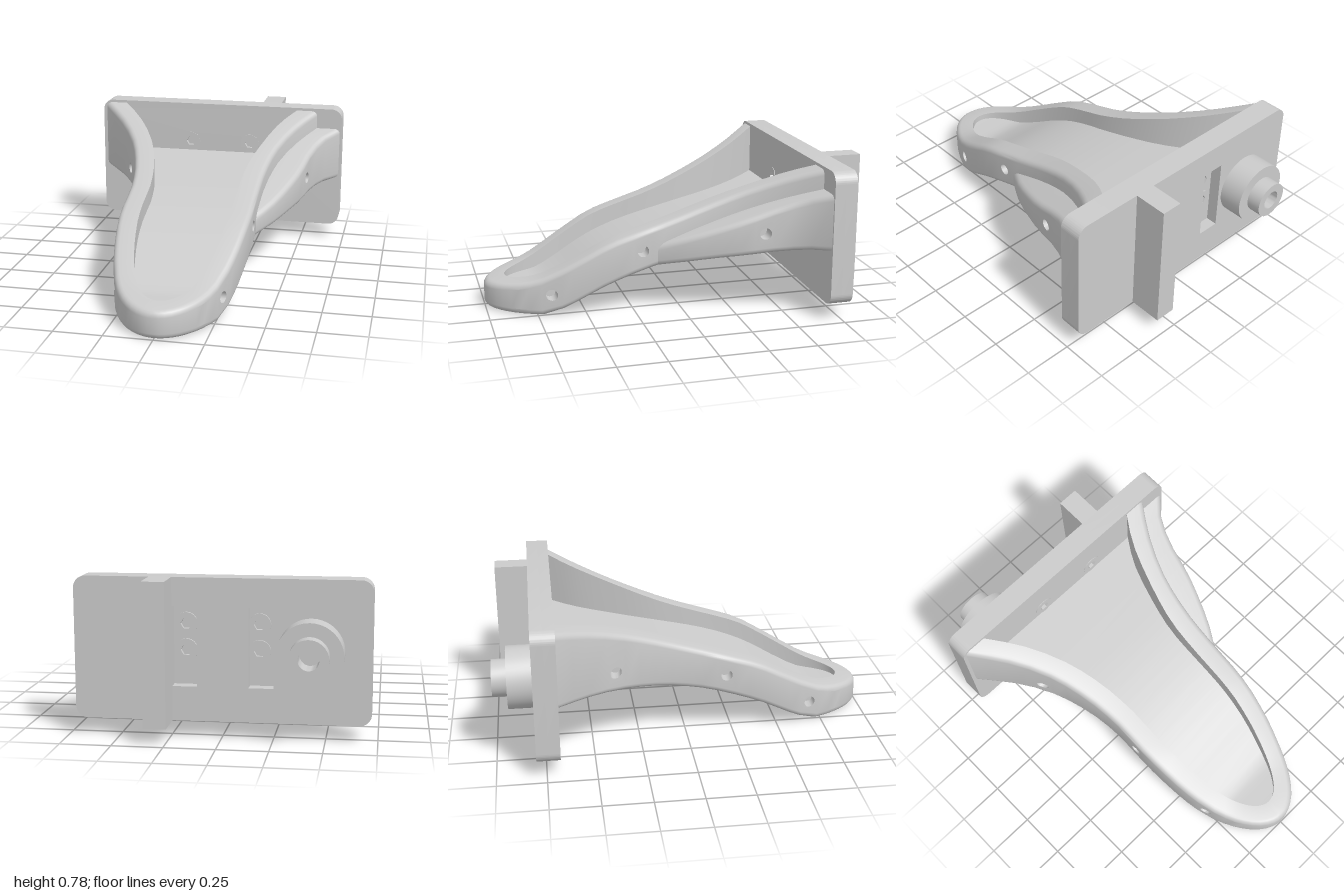
import * as THREE from 'three';
import { mergeGeometries, toCreasedNormals } from 'three/addons/utils/BufferGeometryUtils.js';

const grey = new THREE.MeshStandardMaterial({ color: 0xcccccc });
const lerp = THREE.MathUtils.lerp;

// Smooth function through [position, value] points
const curve = (p) => {
  const slope = (i) => {
    const a = p[Math.max(i - 1, 0)], b = p[Math.min(i + 1, p.length - 1)];
    return (b[1] - a[1]) / (b[0] - a[0]);
  };
  return (t) => {
    let i = 0;
    while (i < p.length - 2 && t > p[i + 1][0]) i++;
    const h = p[i + 1][0] - p[i][0], u = (t - p[i][0]) / h, u2 = u * u, u3 = u2 * u;
    return (2 * u3 - 3 * u2 + 1) * p[i][1] + (u3 - 2 * u2 + u) * h * slope(i)
      + (3 * u2 - 2 * u3) * p[i + 1][1] + (u3 - u2) * h * slope(i + 1);
  };
};

// Side profiles, heights along z
const top = curve([[-0.68, 0.765], [-0.3, 0.622], [0, 0.51], [0.25, 0.43], [0.38, 0.385], [0.5, 0.32], [0.7, 0.21], [0.8, 0.175], [1, 0.14]]);
const bottom = curve([[-0.68, 0.37], [-0.2, 0.315], [0, 0.28], [0.2, 0.23], [0.4, 0.155], [0.6, 0.048], [0.7, 0.006], [0.76, 0], [1, 0]]);
const floor = (z) => bottom(z) + 0.125;
const ledgeTop = (z) => Math.min(lerp(0.665, 0.395, (z + 0.68) / 0.73), 0.395 - (z - 0.05) * 0.4);

// Plan outlines, half widths along z (side 1 = +x, -1 = -x)
const outerRear = {
  '1': curve([[-0.68, 0.575], [-0.53, 0.48], [-0.34, 0.4], [-0.13, 0.36], [0.08, 0.35], [0.2, 0.35]]),
  '-1': curve([[-0.68, 0.7], [-0.5, 0.55], [-0.32, 0.445], [-0.1, 0.375], [0.08, 0.35], [0.2, 0.35]]),
};
const innerRear = {
  '1': curve([[-0.68, 0.455], [-0.55, 0.375], [-0.34, 0.3], [-0.13, 0.25], [0.08, 0.24], [0.2, 0.24]]),
  '-1': curve([[-0.68, 0.575], [-0.53, 0.45], [-0.34, 0.34], [-0.13, 0.27], [0.08, 0.24], [0.2, 0.24]]),
};
const round = (z, w, len) => w * Math.sqrt(Math.max(0, 1 - ((z - 0.2) / len) ** 2));
const outer = (z, s) => (z > 0.2 ? round(z, 0.35, 0.8) : outerRear[s](z));
const inner = (z, s) => (z > 0.2 ? round(z, 0.24, 0.69) : innerRear[s](z));
const ledge = curve([[-0.68, 0.71], [-0.61, 0.645], [-0.5, 0.59], [-0.4, 0.562], [-0.29, 0.54], [-0.16, 0.497], [0, 0.43], [0.14, 0.345]]);

const rearZ = [-0.68, -0.6, -0.52, -0.43, -0.33, -0.25, -0.17, -0.08, 0, 0.08];
const trayZ = [...rearZ, 0.16, 0.26, 0.34, 0.42, 0.5, 0.57, 0.63, 0.73, 0.79, 0.84, 0.88, 0.92, 0.95, 0.975, 0.99, 0.9975, 1];

// Surface through rows of points
function loft(rows, flip = false) {
  const pos = [];
  for (let i = 0; i < rows.length - 1; i++) {
    for (let j = 0; j < rows[i].length - 1; j++) {
      const a = rows[i][j], b = rows[i + 1][j], c = rows[i + 1][j + 1], d = rows[i][j + 1];
      pos.push(...(flip ? [a, c, d, a, b, c] : [a, d, c, a, c, b]).flat());
    }
  }
  return new THREE.BufferGeometry().setAttribute('position', new THREE.Float32BufferAttribute(pos, 3));
}

// Side wall made of strips; a strip that holds a screw hole is pierced and gets a blind bore
function wall(zs, width, low, high, s, holes) {
  const parts = [];
  for (let i = 0; i < zs.length - 1; i++) {
    const a = zs[i], b = zs[i + 1];
    const xAt = (z) => s * lerp(width(a), width(b), (z - a) / (b - a));
    const shape = new THREE.Shape([[a, low(a)], [b, low(b)], [b, high(b)], [a, high(a)]]
      .map(([z, y]) => new THREE.Vector2(-s * z, y)));
    for (const [hz, hy] of holes.filter((h) => h[0] > a && h[0] < b)) {
      const ring = Array.from({ length: 21 }, (_, k) => {
        const t = (k % 20) * Math.PI / 10;
        return [hz - s * 0.03 * Math.cos(t), hy + 0.03 * Math.sin(t)];
      });
      shape.holes.push(new THREE.Path(ring.slice(0, 20).map(([z, y]) => new THREE.Vector2(-s * z, y))));
      const deep = xAt(hz) - s * 0.07;
      parts.push(loft([
        ring.map(([z, y]) => [xAt(z), y, z]),
        ring.map(([z, y]) => [deep, y, z]),
        ring.map(() => [deep, hy, hz]),
      ]));
    }
    const g = new THREE.ShapeGeometry(shape).toNonIndexed();
    g.deleteAttribute('uv');
    g.deleteAttribute('normal');
    const p = g.attributes.position;
    for (let k = 0; k < p.count; k++) {
      const z = -s * p.getX(k);
      p.setXYZ(k, xAt(z), p.getY(k), z);
    }
    parts.push(g);
  }
  return parts;
}

const R = 0.03; // edge fillet
const arc = [0, 1, 2, 3, 4].map((k) => [1 - Math.sin(k * Math.PI / 8), 1 - Math.cos(k * Math.PI / 8)]); // [inset, lift]

// Scoop-shaped tray: rounded rim, inner wall, floor and underside
function trayGeometry() {
  const innerZ = (z) => (z > 0.2 ? 0.2 + (z - 0.2) * 0.69 / 0.8 : z);
  const at = (z, s, f, height, lift = 0) => {
    const zi = innerZ(z), zz = lerp(z, zi, f);
    return [s * lerp(outer(z, s), inner(zi, s), f), height(zz) + lift, zz];
  };
  const parts = [];
  for (const s of [-1, 1]) {
    const flip = s < 0;
    parts.push(loft(trayZ.map((z) => arc.map(([f, l]) => at(z, s, f * 0.27, bottom, l * R))), flip));
    parts.push(loft(trayZ.map((z) => [
      ...arc.map(([f, l]) => at(z, s, f * 0.27, top, -l * R)).reverse(), at(z, s, 1, top), at(z, s, 1, floor),
    ]), flip));
    const holes = [[0.68, 0.115], [0.21, 0.335]];
    if (s < 0) holes.push([-0.38, 0.445]);
    parts.push(...wall(trayZ, (z) => outer(z, s), (z) => bottom(z) + R, (z) => top(z) - R, s, holes));
  }
  parts.push(loft(trayZ.map((z) => [at(z, 1, 1, floor), at(z, -1, 1, floor)])));
  parts.push(loft(trayZ.map((z) => [at(z, -1, 0.27, bottom), at(z, 1, 0.27, bottom)])));
  return toCreasedNormals(mergeGeometries(parts), 0.6);
}

// Lower ledge flaring out beside the +x wall
function ledgeGeometry() {
  const zs = [...rearZ, 0.14];
  const root = (z) => outer(z, 1) - 0.06;
  const parts = [
    loft(zs.map((z) => [[root(z), bottom(z), z], ...arc.map(([f, l]) => [ledge(z) - f * R, bottom(z) + l * R, z])])),
    loft(zs.map((z) => [...arc.map(([f, l]) => [ledge(z) - f * R, ledgeTop(z) - l * R, z]).reverse(), [root(z), ledgeTop(z), z]])),
    ...wall(zs, ledge, (z) => bottom(z) + R, (z) => ledgeTop(z) - R, 1, [[-0.38, 0.445]]),
  ];
  return toCreasedNormals(mergeGeometries(parts), 0.6);
}

function roundedRect(x0, y0, x1, y1, r) {
  const s = new THREE.Shape();
  s.absarc(x1 - r, y1 - r, r, 0, Math.PI / 2);
  s.absarc(x0 + r, y1 - r, r, Math.PI / 2, Math.PI);
  s.absarc(x0 + r, y0 + r, r, Math.PI, Math.PI * 1.5);
  s.absarc(x1 - r, y0 + r, r, Math.PI * 1.5, Math.PI * 2);
  return s;
}

const circle = (x, y, r) => new THREE.Path().absarc(x, y, r, 0, Math.PI * 2);
const extrude = (shape, depth, z) => toCreasedNormals(
  new THREE.ExtrudeGeometry(shape, { depth, bevelEnabled: false, curveSegments: 16 }).translate(0, 0, z), 0.6);

export function createModel() {
  const model = new THREE.Group();
  const add = (name, geometry, parent = model) => {
    const mesh = new THREE.Mesh(geometry, grey);
    mesh.name = name;
    parent.add(mesh);
    return mesh;
  };

  add('tray', trayGeometry());
  add('sideLedge', ledgeGeometry());

  // Mounting plate: front layer with screw holes, back layer with two slots
  const screws = [-0.178, 0.178].flatMap((x) => [[x, 0.55], [x, 0.42]]);
  const front = roundedRect(-0.72, 0.08, 0.72, 0.78, 0.06);
  screws.forEach(([x, y]) => front.holes.push(circle(x, y, 0.055)));
  add('plateFront', extrude(front, 0.06, -0.74));
  const back = roundedRect(-0.72, 0.08, 0.72, 0.78, 0.06);
  for (const x of [-0.19, 0.18]) {
    back.holes.push(new THREE.Path([[-1, 0.25], [1, 0.25], [1, 0.64], [-1, 0.64]]
      .map(([k, y]) => new THREE.Vector2(x + k * 0.06, y))));
  }
  add('plateBack', extrude(back, 0.06, -0.8));

  // Socket screws
  const head = new THREE.Shape().absarc(0, 0, 0.055, 0, Math.PI * 2);
  head.holes.push(new THREE.Path(Array.from({ length: 6 }, (_, k) =>
    new THREE.Vector2(Math.cos(k * Math.PI / 3), Math.sin(k * Math.PI / 3)).multiplyScalar(0.028))));
  const headGeometry = extrude(head, 0.075, -0.752);
  const core = new THREE.CylinderGeometry(0.035, 0.035, 0.03, 12).rotateX(Math.PI / 2).translate(0, 0, -0.715);
  for (const [x, y] of screws) {
    const screw = new THREE.Group();
    screw.name = 'screw';
    screw.position.set(x, y, 0);
    add('screwHead', headGeometry, screw);
    add('screwCore', core, screw);
    model.add(screw);
  }

  // Upright rib and stepped boss on the back
  add('backRib', new THREE.BoxGeometry(0.11, 0.7, 0.18).translate(0.295, 0.43, -0.885));
  const profile = [[0.16, 0], [0.16, 0.125], [0.095, 0.125], [0.095, 0.2], [0.05, 0.2], [0.05, 0.08], [0, 0.08]]
    .map(([r, h]) => new THREE.Vector2(r, h));
  add('backBoss', toCreasedNormals(new THREE.LatheGeometry(profile, 40).rotateX(-Math.PI / 2), 0.6))
    .position.set(-0.43, 0.435, -0.8);

  return model;
}
